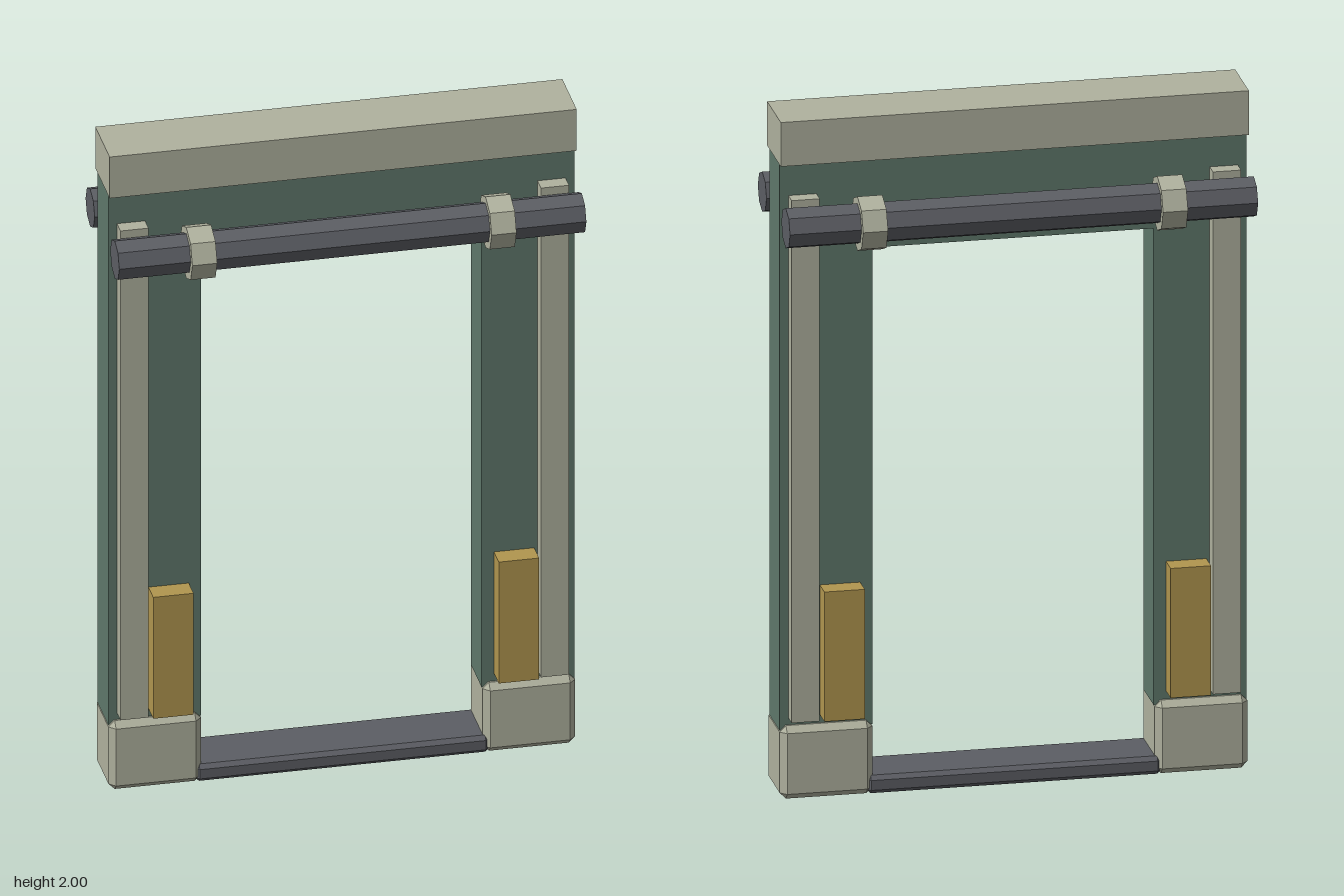
import * as THREE from 'three';
import { ConvexGeometry } from 'three/addons/geometries/ConvexGeometry.js';

const material = (color) => new THREE.MeshStandardMaterial({ color, flatShading: true });

// Box with every edge cut at 45 degrees
function chamferedBox(w, h, d, c) {
  const points = [];
  for (const x of [-1, 1]) for (const y of [-1, 1]) for (const z of [-1, 1]) {
    for (let axis = 0; axis < 3; axis++) {
      const inset = [c, c, c];
      inset[axis] = 0;
      points.push(new THREE.Vector3(
        x * (w / 2 - inset[0]), y * (h / 2 - inset[1]), z * (d / 2 - inset[2])));
    }
  }
  return new ConvexGeometry(points);
}

export function createModel() {
  const group = new THREE.Group();
  const stone = material(0xb0b29f);
  const green = material(0x5f786b);
  const gold = material(0xb1964f);
  const steel = material(0x5c5e64);

  const add = (name, geometry, mat, x, y, z) => {
    const mesh = new THREE.Mesh(geometry, mat);
    mesh.name = name;
    mesh.position.set(x, y, z);
    group.add(mesh);
    return mesh;
  };

  // Door frame: two posts and a lintel in one piece
  const outline = new THREE.Shape([
    [-0.665, 0.2], [-0.4, 0.2], [-0.4, 1.605], [0.4, 1.605],
    [0.4, 0.2], [0.665, 0.2], [0.665, 1.87], [-0.665, 1.87],
  ].map(([x, y]) => new THREE.Vector2(x, y)));
  add('frame', new THREE.ExtrudeGeometry(outline, { depth: 0.138, bevelEnabled: false }),
    green, 0, 0, -0.069);

  // Cap along the top and threshold along the floor
  add('topCap', new THREE.BoxGeometry(1.333, 0.13, 0.186), stone, 0, 1.935, 0);
  add('threshold', chamferedBox(0.84, 0.053, 0.18, 0.012), steel, 0, 0.0265, 0);

  // Octagonal prisms lying along x
  const rod = new THREE.CylinderGeometry(0.059, 0.059, 1.333, 8).rotateZ(Math.PI / 2);
  const collar = new THREE.CylinderGeometry(0.08, 0.08, 0.071, 8).rotateZ(Math.PI / 2);
  const foot = chamferedBox(0.264, 0.215, 0.186, 0.018);
  const strip = new THREE.BoxGeometry(0.08, 1.54, 0.055);
  const plate = new THREE.BoxGeometry(0.115, 0.382, 0.07);

  for (const [side, sx] of [['left', 1], ['right', -1]]) {
    add(`${side}Foot`, foot, stone, sx * 0.534, 0.1075, 0);
    for (const [face, sz] of [['Front', 1], ['Back', -1]]) {
      add(`${side}${face}Strip`, strip, stone, sx * 0.6, 1.005, sz * 0.0865);
      add(`${side}${face}Plate`, plate, gold, sx * 0.493, 0.43, sz * 0.097);
      add(`${side}${face}Collar`, collar, stone, sx * 0.427, 1.71, sz * 0.16);
    }
  }

  // Rods running across the front and back
  add('frontRod', rod, steel, 0, 1.711, 0.16);
  add('backRod', rod, steel, 0, 1.711, -0.16);

  return group;
}
